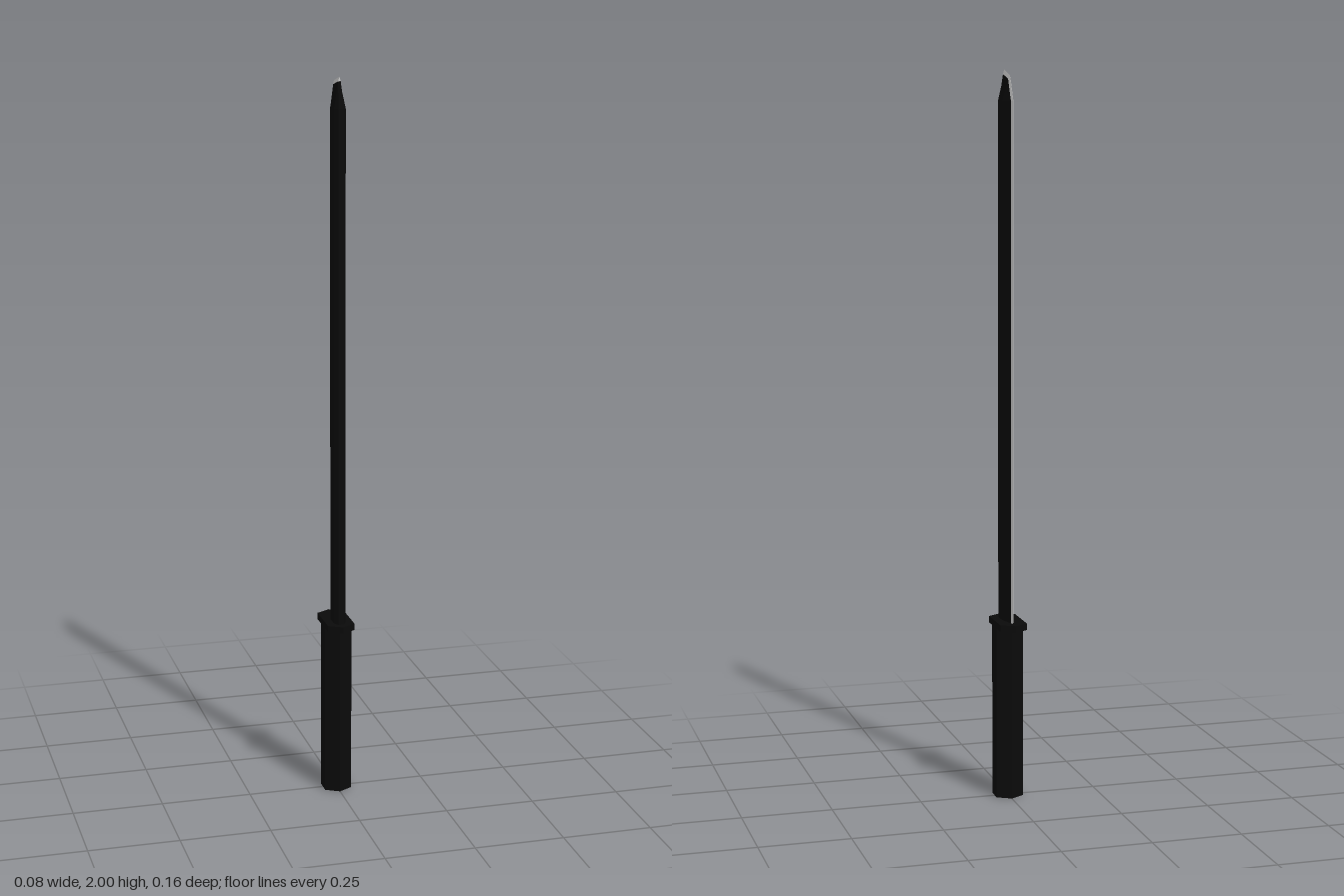
import * as THREE from 'three';

const black = new THREE.MeshStandardMaterial({ color: 0x0a0a0a, flatShading: true });
const steel = new THREE.MeshStandardMaterial({ color: 0xcccccc, flatShading: true });

// Skins a list of equal-length rings of [x, y, z] and caps both ends.
function loft(rings) {
  const pos = [];
  const tri = (...corners) => corners.forEach((p) => pos.push(...p));
  const n = rings[0].length;
  for (let i = 0; i < rings.length - 1; i++) {
    for (let j = 0; j < n; j++) {
      const k = (j + 1) % n;
      const a = rings[i][j], b = rings[i][k], c = rings[i + 1][k], d = rings[i + 1][j];
      tri(a, b, c);
      tri(a, c, d);
    }
  }
  const first = rings[0], last = rings[rings.length - 1];
  for (let j = 1; j < n - 1; j++) {
    tri(first[0], first[j + 1], first[j]);
    tri(last[0], last[j], last[j + 1]);
  }
  const geo = new THREE.BufferGeometry();
  geo.setAttribute('position', new THREE.Float32BufferAttribute(pos, 3));
  geo.computeVertexNormals();
  return geo;
}

// Half section [x, z], front to back, mirrored to a closed outline.
const mirror = (half) => [...half, ...half.map(([x, z]) => [-x, z]).reverse()];

export function createModel() {
  const model = new THREE.Group();
  const add = (name, geo, mat) => {
    const mesh = new THREE.Mesh(geo, mat);
    mesh.name = name;
    model.add(mesh);
    return mesh;
  };

  // Six-sided grip with corners at front and back
  add('handle', new THREE.CylinderGeometry(0.044, 0.044, 0.485, 6), black).position.set(0, 0.2425, 0.002);

  // Thin elongated hexagonal guard
  const hex = [[0.038, 0.057], [0.038, -0.058], [0, -0.08], [-0.038, -0.058], [-0.038, 0.057], [0, 0.079]];
  add('guard', loft([0.482, 0.5].map((y) => hex.map(([x, z]) => [x, y, z]))), black);

  // Blade: thick spine at the front, narrowing to the back, with a chisel tip
  const edge = 0.0035;
  const section = mirror([[0.008, 0.055], [0.016, 0.04], [0.016, 0], [edge, -0.042]]);
  const tip = ([x, z]) => {
    const t = (z + 0.042) / 0.097;
    return [Math.sign(x) * edge, 1.975 + 0.013 * t, -0.015 + 0.05 * t];
  };
  add('blade', loft([
    section.map(([x, z]) => [x, 0.5, z]),
    section.map(([x, z]) => [x, 1.917, z]),
    section.map(tip),
  ]), black);

  // Sharpened wedge along the back and over the tip: inner [z, y], outer [z, y]
  const path = [
    [[-0.042, 0.5], [-0.05, 0.5]],
    [[-0.042, 1.917], [-0.05, 1.92]],
    [[-0.015, 1.975], [-0.02, 1.985]],
    [[0.035, 1.988], [0.035, 2]],
  ];
  add('cuttingEdge', loft(path.map(([[iz, iy], [oz, oy]]) => [[edge, iy, iz], [0, oy, oz], [-edge, iy, iz]])), steel);

  return model;
}
